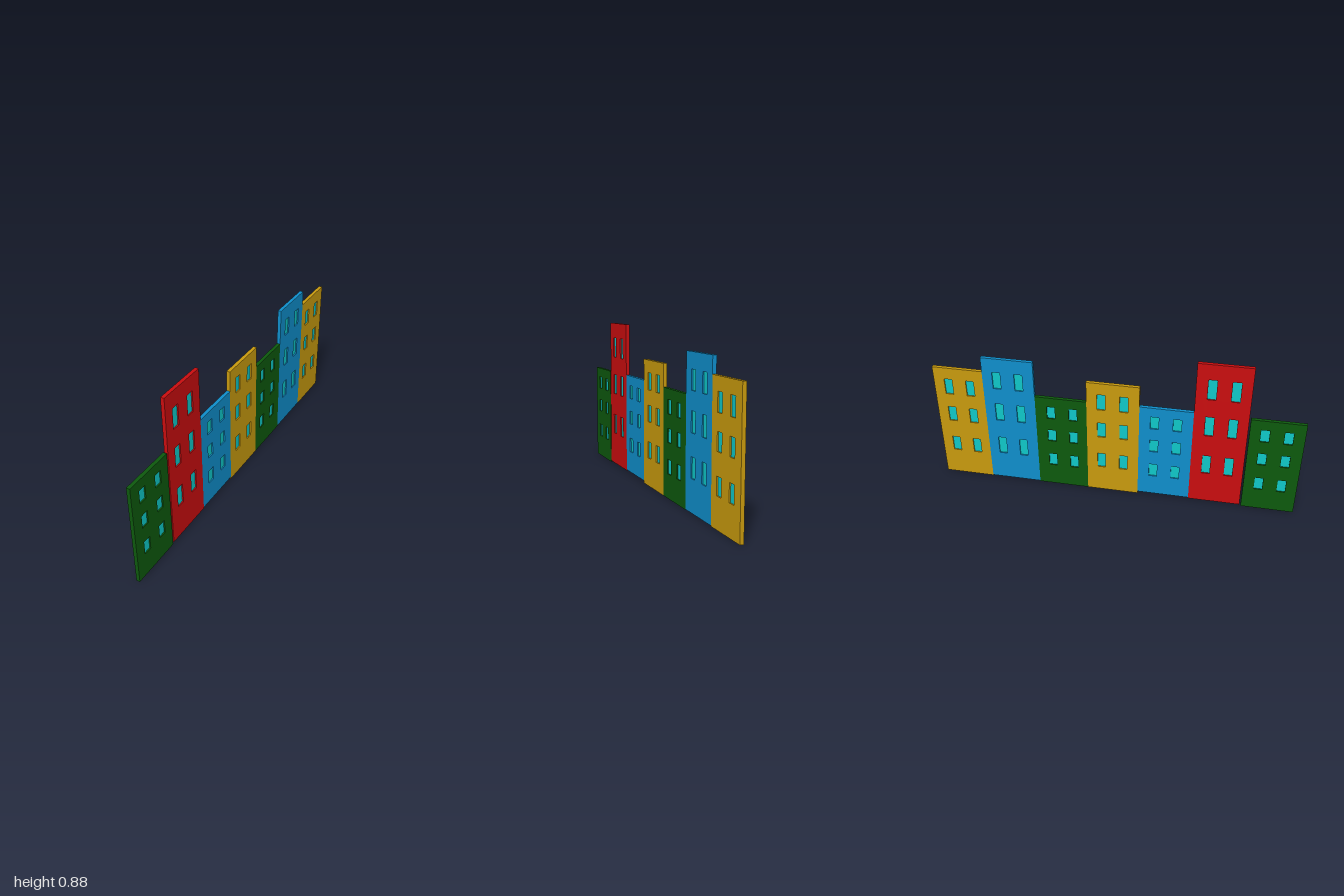
import * as THREE from 'three';

const DEPTH = 0.02, PANE = 0.006, WIN_W = 0.045;
const GREEN = 0x0d590d, RED = 0xc90d0f, BLUE = 0x0f8ecb, YELLOW = 0xc89a0e, CYAN = 0x0fc8c8;

const material = (color) => new THREE.MeshStandardMaterial({ color, flatShading: true });

// Rectangle as a closed path
function rect(path, x0, y0, x1, y1) {
  path.moveTo(x0, y0);
  path.lineTo(x1, y0);
  path.lineTo(x1, y1);
  path.lineTo(x0, y1);
  path.closePath();
  return path;
}

// Window rows as [bottom, top]
const greenRows = [[0.131, 0.208], [0.297, 0.37], [0.446, 0.52]];
const redRows = [[0.198, 0.315], [0.446, 0.564], [0.671, 0.788]];
const lowBlueRows = [[0.136, 0.216], [0.302, 0.377], [0.452, 0.527]];
const yellowRows = [[0.158, 0.249], [0.361, 0.452], [0.537, 0.631]];
const tallBlueRows = [[0.174, 0.281], [0.398, 0.505], [0.602, 0.703]];

// Houses from front to back: z range, bottom, top, first window offset
const houses = [
  { name: 'frontGreenHouse', color: GREEN, z: [1, 0.715], y: [0, 0.577], inset: 0.06, rows: greenRows },
  { name: 'redHouse', color: RED, z: [0.707, 0.422], y: [0.008, 0.877], inset: 0.057, rows: redRows },
  { name: 'lowBlueHouse', color: BLUE, z: [0.422, 0.135], y: [0.013, 0.583], inset: 0.06, rows: lowBlueRows },
  { name: 'middleYellowHouse', color: YELLOW, z: [0.135, -0.151], y: [0, 0.7], inset: 0.061, rows: yellowRows },
  { name: 'backGreenHouse', color: GREEN, z: [-0.151, -0.435], y: [0, 0.577], inset: 0.054, rows: greenRows },
  { name: 'tallBlueHouse', color: BLUE, z: [-0.435, -0.72], y: [0.003, 0.786], inset: 0.062, rows: tallBlueRows },
  { name: 'backYellowHouse', color: YELLOW, z: [-0.72, -1], y: [0, 0.7], inset: 0.054, rows: yellowRows },
];

function createHouse({ name, color, z, y, inset, rows }) {
  const house = new THREE.Group();
  house.name = name;
  const start = -z[0], end = -z[1];
  const shape = rect(new THREE.Shape(), start, y[0], end, y[1]);
  const paneMaterial = material(CYAN);

  for (const [bottom, top] of rows) {
    for (const offset of [inset, inset + 0.122]) {
      const x = start + offset;
      shape.holes.push(rect(new THREE.Path(), x, bottom, x + WIN_W, top));
      // Thin pane recessed from both faces
      const pane = new THREE.Mesh(new THREE.BoxGeometry(WIN_W, top - bottom, PANE), paneMaterial);
      pane.position.set(x + WIN_W / 2, (bottom + top) / 2, 0);
      pane.name = 'windowPane';
      house.add(pane);
    }
  }

  // Wall slab with window openings
  const geometry = new THREE.ExtrudeGeometry(shape, { depth: DEPTH, bevelEnabled: false });
  geometry.translate(0, 0, -DEPTH / 2);
  const wall = new THREE.Mesh(geometry, material(color));
  wall.name = 'wall';
  house.add(wall);

  // Turn the facade to face sideways, so the row runs along z
  house.rotation.y = Math.PI / 2;
  return house;
}

export function createModel() {
  const model = new THREE.Group();
  model.name = 'houseRow';
  for (const spec of houses) model.add(createHouse(spec));
  return model;
}
